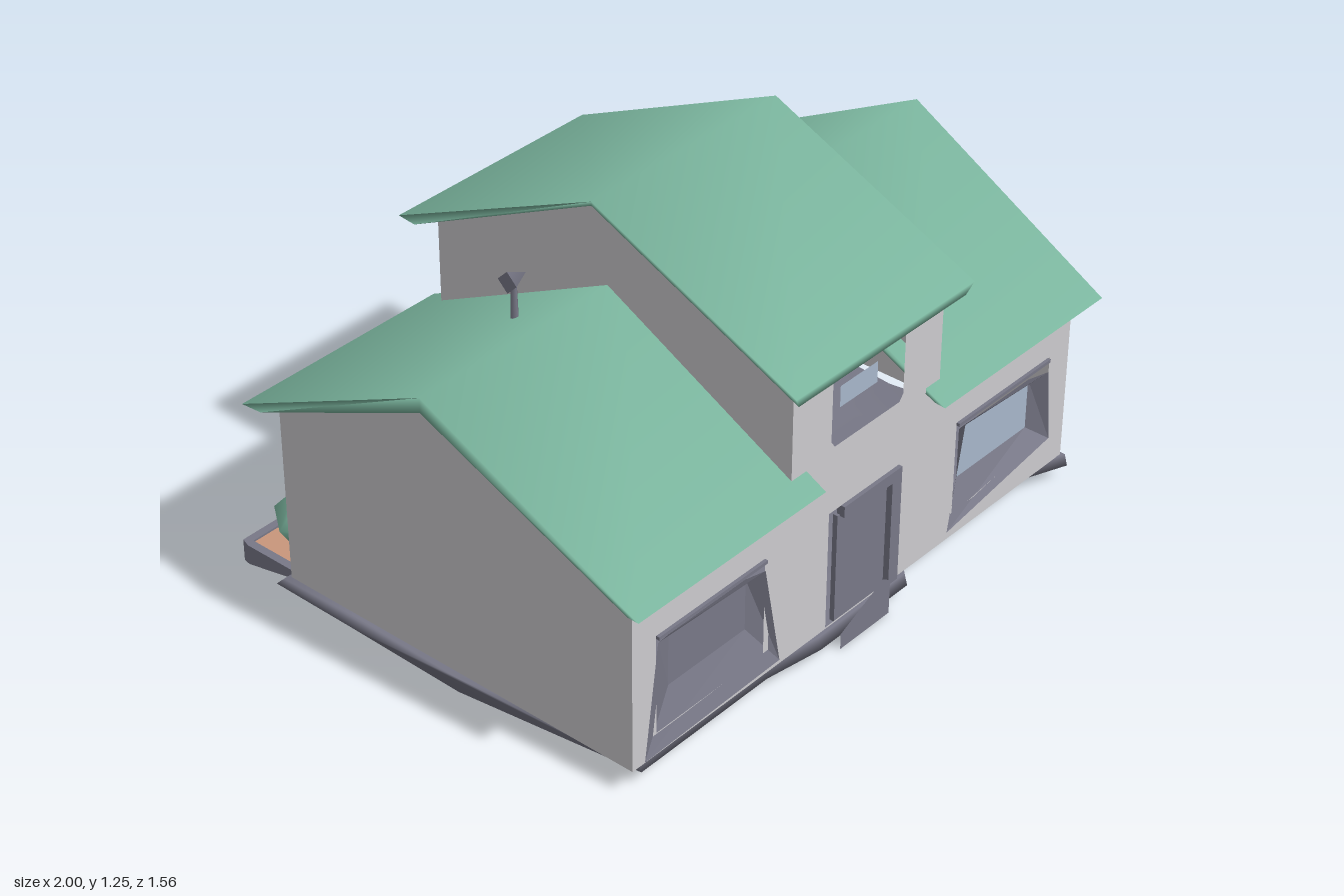
import * as THREE from 'three';
import { mergeVertices } from 'three/addons/utils/BufferGeometryUtils.js';

const mat = (name, color) => {
  const m = new THREE.MeshStandardMaterial({ color, side: THREE.DoubleSide });
  m.name = name;
  return m;
};

export function createModel() {
  const house = new THREE.Group();
  house.name = 'house';
  const wall = mat('wall grey', 0xcccbce);
  const roofGreen = mat('roof green', 0x7ab49d);
  const trim = mat('slate trim', 0x787887);
  const glass = mat('window glass', 0xa7b7ca);
  const soil = mat('soil brown', 0xc8967b);

  const add = (name, geo, material, parent = house) => {
    const m = new THREE.Mesh(geo, material);
    m.name = name;
    parent.add(m);
    return m;
  };
  const poly = (pts) => new THREE.Shape(pts.map(([x, y]) => new THREE.Vector2(x, y)));
  const rect = (x0, x1, y0, y1) => [[x0, y0], [x1, y0], [x1, y1], [x0, y1]];
  const withHoles = (pts, holes) => {
    const s = poly(pts);
    s.holes = holes.map((h) => poly(h));
    return s;
  };
  // flat shape drawn in (z, y), standing at a given x
  const sidePlate = (pts, x) =>
    new THREE.ShapeGeometry(poly(pts)).rotateY(-Math.PI / 2).translate(x, 0, 0);
  // (z, y) profile swept from x0 to x1
  const sweepX = (pts, x0, x1, steps = 1) =>
    new THREE.ExtrudeGeometry(poly(pts), { depth: x1 - x0, steps, bevelEnabled: false })
      .rotateY(-Math.PI / 2).translate(x1, 0, 0);
  // move vertices by a rule
  const reshape = (geo, rule) => {
    const p = geo.attributes.position;
    for (let i = 0; i < p.count; i++) p.setXYZ(i, ...rule(p.getX(i), p.getY(i), p.getZ(i)));
    geo.computeVertexNormals();
    return geo;
  };
  // shared vertices, so the shading runs softly over the edges
  const smooth = (geo) => {
    geo.deleteAttribute('normal');
    geo.deleteAttribute('uv');
    const g = mergeVertices(geo, 1e-4);
    g.computeVertexNormals();
    return g;
  };
  // sloped band between an outer and an inner outline
  const funnel = (outer, inner, zOuter, zInner) => {
    const v = [];
    const n = outer.length;
    for (let i = 0; i < n; i++) {
      const j = (i + 1) % n;
      const a = [...outer[i], zOuter], b = [...outer[j], zOuter];
      const c = [...inner[j], zInner], d = [...inner[i], zInner];
      v.push(...a, ...b, ...c, ...a, ...c, ...d);
    }
    const g = new THREE.BufferGeometry();
    g.setAttribute('position', new THREE.Float32BufferAttribute(v, 3));
    g.computeVertexNormals();
    return g;
  };
  const plate = (pts, z) => new THREE.ShapeGeometry(poly(pts)).translate(0, 0, z);

  // walls facing front and back, with their openings
  const outline = [[-0.92, 0.08], [0.92, 0.08], [0.92, 0.62], [0.31, 0.63], [0.31, 0.925],
    [-0.31, 0.925], [-0.31, 0.63], [-0.92, 0.62]];
  const upperHole = [[-0.15, 0.68], [-0.135, 0.66], [0.135, 0.66], [0.15, 0.68],
    [0.15, 0.87], [0.14, 0.88], [-0.14, 0.88], [-0.15, 0.87]];
  const openings = [rect(-0.83, -0.41, 0.15, 0.455),
    [[0.4, 0.15], [0.82, 0.2], [0.83, 0.455], [0.4, 0.455]],
    rect(-0.15, 0.145, 0.085, 0.455), upperHole];

  const blindOuter = [[-0.89, 0.1], [-0.36, 0.11], [-0.425, 0.435], [-0.84, 0.45]];
  const blindInner = rect(-0.75, -0.45, 0.24, 0.4);
  const glassOuter = [[0.36, 0.12], [0.83, 0.19], [0.805, 0.425], [0.42, 0.45]];
  const glassInner = rect(0.455, 0.775, 0.235, 0.395);

  for (const [label, z, s] of [['front', 0.71, 1], ['back', -0.52, -1]]) {
    const face = new THREE.Group();
    face.name = label + 'Face';
    face.position.z = z;
    house.add(face);
    add(label + 'Wall', new THREE.ShapeGeometry(withHoles(outline, openings)), wall, face);

    // windows: one blind, one glazed, one small upstairs
    add('blindWindowFrame', funnel(blindOuter, blindInner, s * 0.015, s * -0.03), trim, face);
    add('blindWindowPanel', plate(blindInner, s * -0.03), trim, face);
    add('windowFrame', funnel(glassOuter, glassInner, s * 0.015, s * -0.03), trim, face);
    add('windowGlass', plate(glassInner, s * -0.03), glass, face);
    add('upperWindowGlass', plate(rect(-0.08, 0.075, 0.74, 0.805), s * -0.03), glass, face);

    // thin lintels over the two big windows
    for (const x of [-0.62, 0.61]) {
      add('windowLintel', new THREE.BoxGeometry(0.42, 0.01, 0.02).translate(x, 0.453, 0), trim, face);
    }

    // door frame, leaf and step
    add('doorLintel', new THREE.BoxGeometry(0.245, 0.035, 0.025).translate(0.0225, 0.438, 0), trim, face);
    add('doorPost', new THREE.BoxGeometry(0.04, 0.35, 0.025).translate(0.125, 0.26, 0), trim, face);
    add('doorLeaf', new THREE.BoxGeometry(0.21, 0.36, 0.015).translate(-0.005, 0.245, s * -0.01), trim, face);
    add('doorStep', plate([[-0.11, 0], [0.1, 0], [0.1, 0.11], [0.07, 0.13], [-0.11, 0.05]],
      s * 0.022), trim, face);
  }

  // gable walls of the wings and of the taller middle
  const wingGable = [[0.71, 0.08], [0.71, 0.62], [0.09, 0.925], [-0.52, 0.62], [-0.52, 0.08]];
  const middleGable = [[0.71, 0.6], [0.71, 0.925], [0.09, 1.23], [-0.52, 0.925], [-0.52, 0.6]];
  const wingRoof = [[0.775, 0.61], [0.09, 0.975], [-0.61, 0.63], [-0.595, 0.585],
    [0.09, 0.93], [0.74, 0.613]];
  for (const s of [-1, 1]) {
    add('wingGableWall', sidePlate(wingGable, s * 0.92), wall);
    add('middleGableWall', sidePlate(middleGable, s * 0.31), wall);
    // wing roof, drawn in toward the eaves at its outer end
    const sweep = s > 0 ? sweepX(wingRoof, 0.25, 1) : sweepX(wingRoof, -1, -0.25);
    add('wingRoof', smooth(reshape(sweep, (x, y, z) => {
      const end = y < 0.6 ? 0.92 : 1 - 0.045 * Math.abs(z - 0.09);
      return [Math.abs(x) > 0.9 ? s * end : x, y, z];
    })), roofGreen);
  }

  // taller middle roof, its lower eave corners cut back
  const middleRoof = sweepX([[0.765, 0.945], [0.09, 1.25], [-0.61, 0.935],
    [-0.575, 0.91], [0.09, 1.238], [0.755, 0.91]], -0.368, 0.365);
  add('middleRoof', smooth(reshape(middleRoof, (x, y, z) => [y < 0.92 ? x * 0.94 : x, y, z])), roofGreen);

  // sagging base slab: front edge pulled in beside the door, one side skewed under the wall
  const slab = sweepX([[0.73, 0.045], [0.72, 0.08], [0.4, 0.08], [0.09, 0.045], [-0.27, 0.075],
    [-0.53, 0.08], [-0.56, 0.05], [-0.28, 0.03], [0.09, 0]], -0.94, 0.93, 10);
  add('baseSlab', smooth(reshape(slab, (x, y, z) => {
    const pull = x > 0.36 ? (0.93 - x) / 0.57 : Math.max(0, (x - 0.2) / 0.16);
    const isFront = z > 0.6;
    const zNew = isFront ? z - 0.2 * pull - (x < -0.2 ? 0.03 : 0) : z;
    return [x < -0.9 ? -0.94 + 0.05 * (z + 0.56) : x, isFront ? y + 0.02 * pull : y, zNew];
  })), trim);

  // planters behind the house, each with a tall and a low bush
  const bush = (name, x, z, rx, height, rz, turn) => {
    const profile = [[0, 0], [0.75, 0], [1, 0.4], [0.55, 0.8], [0, 1]];
    const g = new THREE.LatheGeometry(profile.map(([r, h]) => new THREE.Vector2(r, h)), 6);
    add(name, smooth(g.rotateY(turn).scale(rx, height, rz).translate(x, 0.07, z)), roofGreen);
  };
  const planter = (x0, x1, zBack, tallX, lowX) => {
    const box = new THREE.Group();
    box.name = 'planter';
    house.add(box);
    const depth = -0.54 - zBack;
    const rim = withHoles(
      [[x0, 0], [x1, 0], [x1, depth - 0.03], [x1 - 0.02, depth], [x0 + 0.01, depth], [x0, depth - 0.03]],
      [rect(x0 + 0.025, x1 - 0.025, 0.015, depth - 0.025)]);
    const rimGeo = new THREE.ExtrudeGeometry(rim, { depth: 0.07, bevelEnabled: false })
      .rotateX(-Math.PI / 2).translate(0, 0, -0.54);
    // underside drops outward
    add('planterRim', reshape(rimGeo, (x, y, z) =>
      [x, y < 0.03 ? 0.045 * (1 + (0.54 + z) / depth) : y, z]), trim, box);
    add('planterSoil', new THREE.ShapeGeometry(poly(rect(x0 + 0.02, x1 - 0.02, 0.01, depth - 0.02)))
      .rotateX(-Math.PI / 2).translate(0, 0.064, -0.54), soil, box);
    bush('tallBush', tallX, -0.62, 0.12, 0.2, 0.1, 0);
    bush('lowBush', lowX, -0.645, 0.14, 0.14, 0.115, 0.5);
  };
  planter(-0.89, -0.34, -0.755, -0.52, -0.7);
  planter(0.345, 0.91, -0.785, 0.66, 0.52);

  // small roof vent
  add('ventPipe', new THREE.CylinderGeometry(0.008, 0.012, 0.13, 5).translate(-0.49, 0.94, -0.07), trim);
  add('ventCap', new THREE.ConeGeometry(0.033, 0.07, 4).rotateZ(-Math.PI / 2)
    .translate(-0.475, 1.008, -0.075), trim);

  return house;
}
